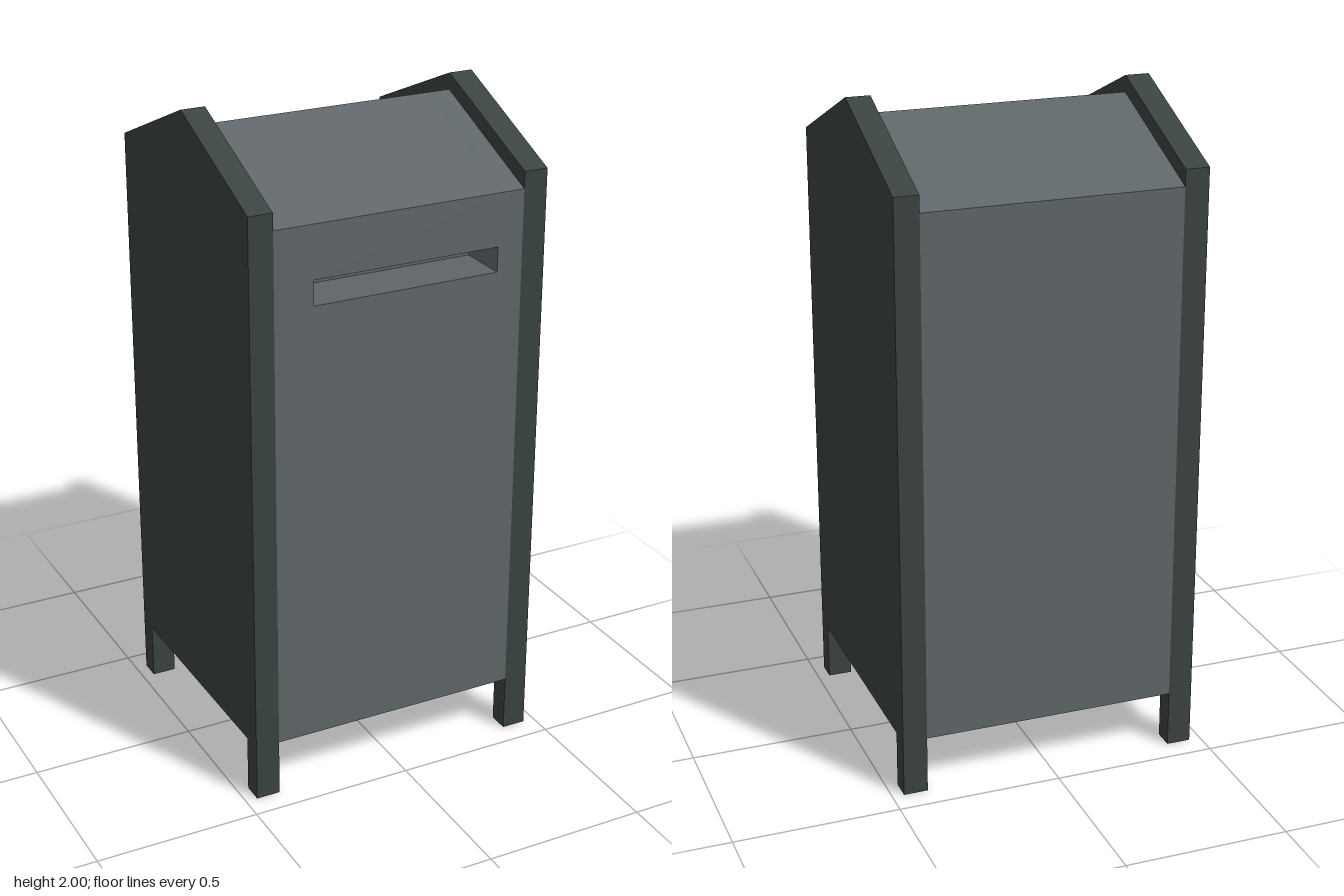
import * as THREE from 'three';

const HALF_DEPTH = 0.428;
const FLOOR = 0.175;

// Extrudes a [z, y] outline along x from x0 to x1
function slab(name, outline, x0, x1, material) {
  const shape = new THREE.Shape(outline.map(([z, y]) => new THREE.Vector2(z, y)));
  const geometry = new THREE.ExtrudeGeometry(shape, { depth: x1 - x0, bevelEnabled: false });
  geometry.rotateY(-Math.PI / 2);
  geometry.translate(x1, 0, 0);
  const mesh = new THREE.Mesh(geometry, material);
  mesh.name = name;
  return mesh;
}

export function createModel() {
  const sideGreen = new THREE.MeshStandardMaterial({ color: 0x39423f });
  sideGreen.name = 'darkGreenGrey';
  const bodyGrey = new THREE.MeshStandardMaterial({ color: 0x5e6568 });
  bodyGrey.name = 'slateGrey';

  const model = new THREE.Group();
  model.name = 'postBox';

  // Gabled side panels, each with two legs
  const d = HALF_DEPTH, leg = d - 0.063;
  const sideOutline = [
    [-d, 0], [-leg, 0], [-leg, FLOOR], [leg, FLOOR], [leg, 0], [d, 0],
    [d, 1.82], [0, 2], [-d, 1.82],
  ];
  model.add(slab('rightSidePanel', sideOutline, -0.464, -0.39, sideGreen));
  model.add(slab('leftSidePanel', sideOutline, 0.39, 0.464, sideGreen));

  // Body with a pitched roof; the middle section is notched for the slot
  const slotBack = d - 0.16, slotLow = 1.535, slotHigh = 1.61;
  const roof = [[d, 1.77], [0, 1.95], [-d, 1.77]];
  const plain = [[-d, FLOOR], [d, FLOOR], ...roof];
  const notched = [
    [-d, FLOOR], [d, FLOOR],
    [d, slotLow], [slotBack, slotLow], [slotBack, slotHigh], [d, slotHigh],
    ...roof,
  ];
  const body = new THREE.Group();
  body.name = 'body';
  body.add(slab('bodyRight', plain, -0.39, -0.27, bodyGrey));
  body.add(slab('bodySlotSection', notched, -0.27, 0.31, bodyGrey));
  body.add(slab('bodyLeft', plain, 0.31, 0.39, bodyGrey));
  model.add(body);

  return model;
}
